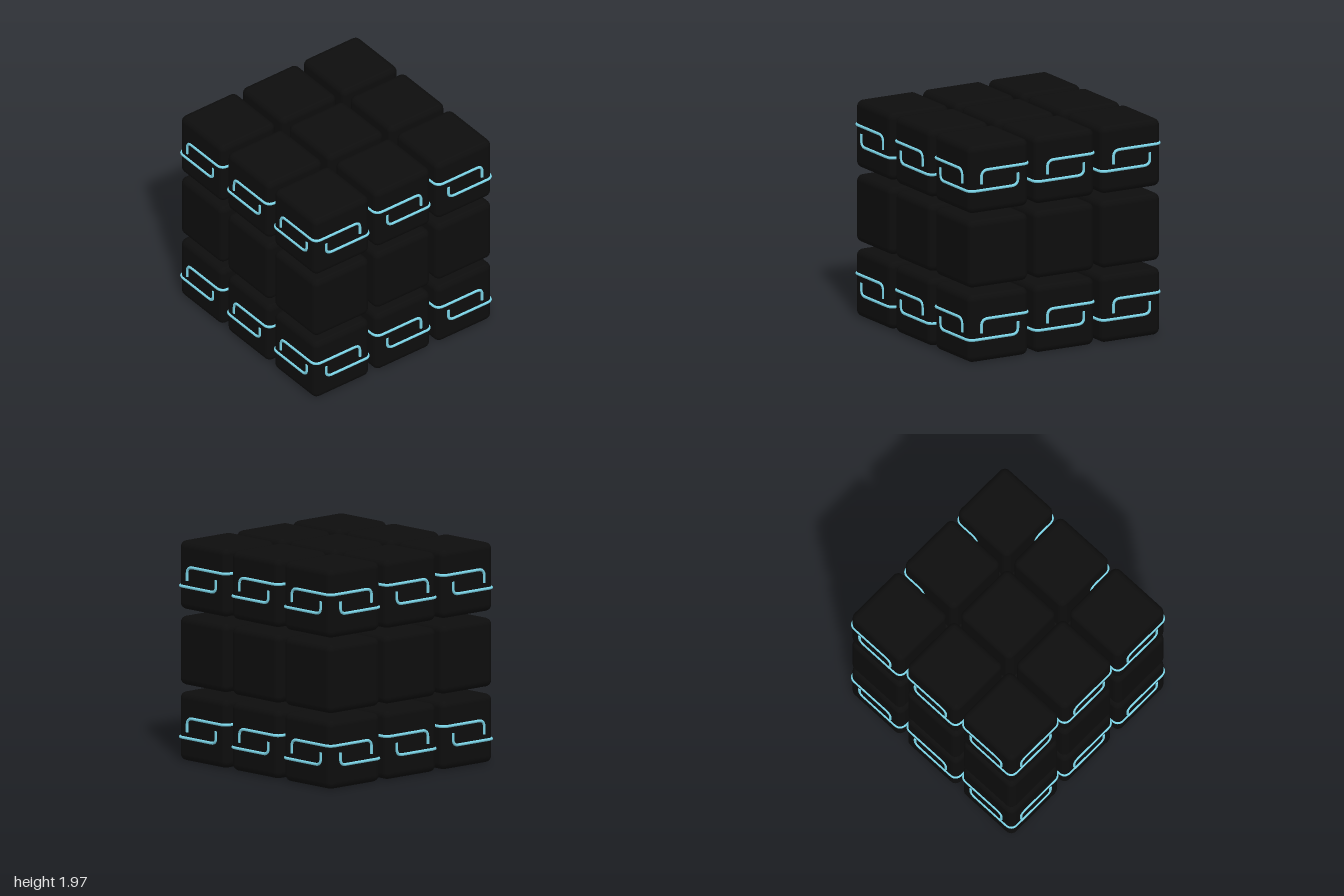
import * as THREE from 'three';
import { RoundedBoxGeometry } from 'three/addons/geometries/RoundedBoxGeometry.js';

const SIZE = 0.615, PITCH = 0.678, MID = 0.986;
const FACE = 0.986;            // outer face plane, where the wires lie half sunk
const HIGH = 0.084, LOW = -0.098; // wire heights relative to a layer's centre
const WIRE = 0.0135;
const DEPTH = 0.737;           // how far the wires reach into the gaps

// Path through corner points, each corner rounded off
function roundedPath(points, radius) {
  const path = new THREE.CurvePath();
  let last = points[0];
  for (let i = 1; i < points.length - 1; i++) {
    const p = points[i];
    const towards = (q) => {
      const d = q.clone().sub(p);
      const r = Math.min(radius, d.length() * 0.49);
      return p.clone().add(d.setLength(r));
    };
    const a = towards(points[i - 1]), b = towards(points[i + 1]);
    path.add(new THREE.LineCurve3(last, a));
    path.add(new THREE.QuadraticBezierCurve3(a, p, b));
    last = b;
  }
  path.add(new THREE.LineCurve3(last, points[points.length - 1]));
  return path;
}

// Round wire with flat closed ends
function makeWire(coords, material) {
  const path = roundedPath(coords.map((c) => new THREE.Vector3(...c)), 0.065);
  const wire = new THREE.Group();
  wire.name = 'wire';
  wire.add(new THREE.Mesh(new THREE.TubeGeometry(path, 130, WIRE, 8, false), material));
  for (const t of [0, 1]) {
    const cap = new THREE.Mesh(new THREE.CircleGeometry(WIRE, 8), material);
    const out = path.getTangentAt(t).multiplyScalar(t ? 1 : -1);
    cap.position.copy(path.getPointAt(t));
    cap.quaternion.setFromUnitVectors(new THREE.Vector3(0, 0, 1), out);
    wire.add(cap);
  }
  wire.children.forEach((m, i) => { m.name = i ? 'wireEnd' : 'wireTube'; });
  return wire;
}

// Wire from one front block, through the gap, to the next block on its left
function linkPath(x) {
  const a = x + SIZE / 2, b = x + PITCH - SIZE / 2, n = x + PITCH;
  return [
    [x - 0.187, 0.017, FACE], [x - 0.187, LOW, FACE], [a, LOW, FACE],
    [a, LOW, DEPTH], [b, LOW, DEPTH], [b, HIGH, DEPTH],
    [b, HIGH, FACE], [n + 0.187, HIGH, FACE], [n + 0.187, -0.042, FACE],
  ];
}

export function createModel() {
  const group = new THREE.Group();
  group.name = 'blockCube';
  const black = new THREE.MeshStandardMaterial({ color: 0x0d0d0d });
  const blue = new THREE.MeshStandardMaterial({ color: 0x7ad3e6 });

  // 3 x 3 x 3 rounded blocks
  const blockGeo = new RoundedBoxGeometry(SIZE, SIZE, SIZE, 4, 0.06);
  for (const i of [-1, 0, 1]) for (const j of [-1, 0, 1]) for (const k of [-1, 0, 1]) {
    const block = new THREE.Mesh(blockGeo, black);
    block.name = 'block';
    block.position.set(i * PITCH, MID + j * PITCH, k * PITCH);
    group.add(block);
  }

  // Wires of the front and one side; the side mirrors the front about the diagonal
  const links = [-PITCH, 0].map(linkPath);
  const sideLinks = links.map((path) => path.map(([x, y, z]) => [z, y, x]));
  const h = 0.491;
  const lowCorner = [
    [h, 0.017, FACE], [h, LOW, FACE], [FACE, LOW, FACE], [FACE, LOW, h], [FACE, 0.017, h],
  ];
  const highCorner = [
    [FACE, -0.042, -h], [FACE, HIGH, -h], [FACE, HIGH, -FACE], [h, HIGH, -FACE], [h, -0.042, -FACE],
  ];
  const paths = [...links, ...sideLinks, lowCorner, highCorner];

  // Each half ring turned by 180 degrees, on the lower and upper layers
  for (const layer of [-1, 1]) {
    const ring = new THREE.Group();
    ring.name = layer < 0 ? 'lowerWireRing' : 'upperWireRing';
    ring.position.y = MID + layer * PITCH;
    for (const turn of [0, Math.PI]) {
      const half = new THREE.Group();
      half.name = 'halfRing';
      half.rotation.y = turn;
      for (const p of paths) half.add(makeWire(p, blue));
      ring.add(half);
    }
    group.add(ring);
  }
  return group;
}
